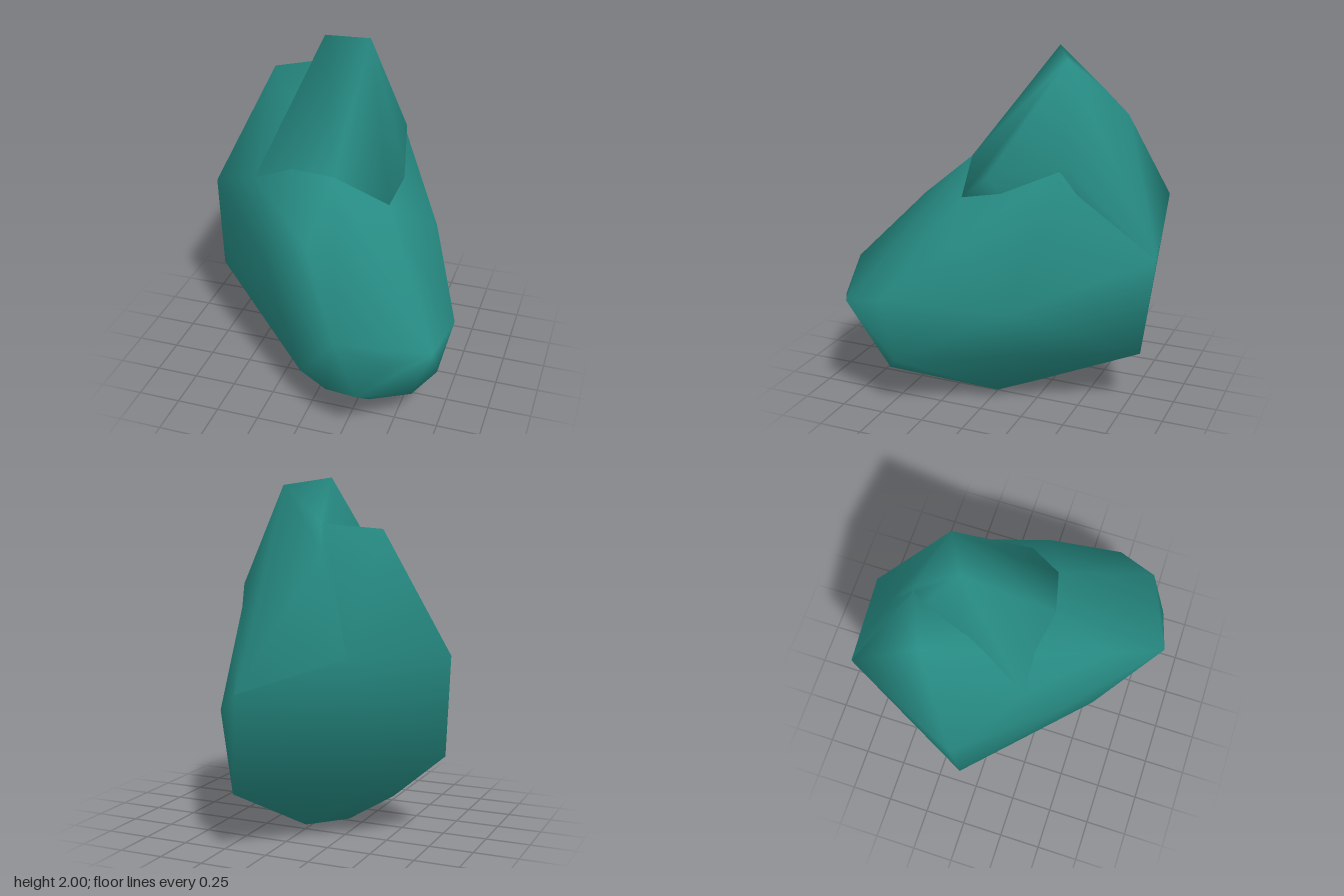
import * as THREE from 'three';
import { ConvexGeometry } from 'three/addons/geometries/ConvexGeometry.js';
import { mergeVertices } from 'three/addons/utils/BufferGeometryUtils.js';

const teal = new THREE.MeshStandardMaterial({ color: 0x268a82 });
teal.name = 'teal stone';

// Smooth-shaded convex chunk around a few corner points
function chunk(name, corners) {
  const hull = new ConvexGeometry(corners.map((c) => new THREE.Vector3(...c)));
  hull.deleteAttribute('normal');
  const geometry = mergeVertices(hull, 1e-4);
  geometry.computeVertexNormals();
  const mesh = new THREE.Mesh(geometry, teal);
  mesh.name = name;
  return mesh;
}

// Corners shared by both chunks, so that they blend into one boulder
const shared = [
  [-0.43, 1.27, 0.21], [0.05, 1.36, 0.24], [0.35, 1.2, 0.17],        // foot of the ridge
  [-0.28, 0.81, 0.44], [-0.78, 0.47, -0.08],                         // front flank and side
  [-0.2, 1.76, -0.47], [0.1, 0.89, -0.89],                           // back
  [-0.49, 1.1, -0.8], [0.15, 0.34, -0.83],
];

export function createModel() {
  const rock = new THREE.Group();
  rock.name = 'rock';

  // Broad body with the side shoulder, ledge and underside
  rock.add(chunk('body', [
    ...shared,
    [-0.5, 1.73, -0.34], [-0.81, 1.04, -0.1], [-0.5, 0.36, -0.33],   // side shoulder
    [0.28, 1.41, -0.41], [0.6, 1.05, 0.05], [0.58, 0.64, -0.2],      // ledge
    [0.81, 0.71, 0.46], [0.75, 0.65, 0.7], [0.55, 0.6, 0.82],
    [0, 1.09, 0.57], [0.26, 0.73, 0.89], [0.36, 0.34, 0.8],          // brow and nose
    [0.72, 0.32, 0.42], [0.6, 0.21, 0.52], [0.4, 0.26, 0.7],         // lower front
    [0.15, 0.27, 0.7], [-0.05, 0.25, 0.56], [-0.42, 0.16, 0.07],
    [-0.18, 0.02, -0.03], [0.03, 0, -0.18], [0.32, 0.04, -0.03],     // underside
  ]));

  // Tall ridge rising out of the body
  rock.add(chunk('peak', [
    ...shared,
    [-0.15, 2, -0.22], [0.08, 1.96, -0.35],                          // summit
    [0.39, 1.34, 0], [0.29, 1.42, -0.42], [-0.26, 1.61, -0.6],       // right edge and back
  ]));

  return rock;
}
